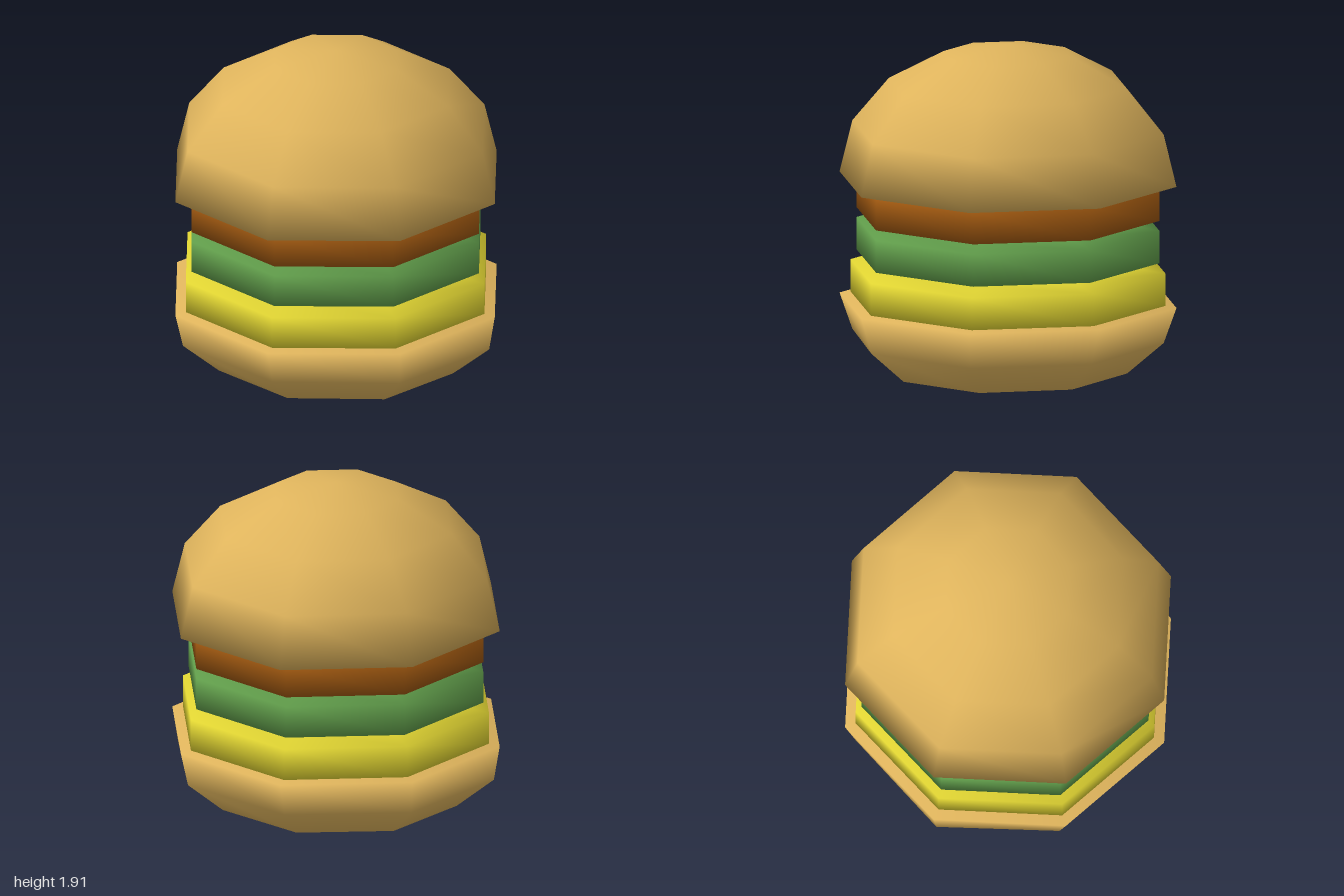
import * as THREE from 'three';
import { mergeVertices } from 'three/addons/utils/BufferGeometryUtils.js';

const material = (name, color) => new THREE.MeshStandardMaterial({ name, color });

// Eight-sided turned solid, closed on the axis, with normals shared across every edge.
// Profile points are [radius, height] from bottom to top, with an optional widening in x.
function turned(name, profile, mat) {
  const points = profile.map(([r, y]) => new THREE.Vector2(r, y));
  let geometry = new THREE.LatheGeometry(points, 8);
  const pos = geometry.attributes.position;
  for (let i = 0; i < pos.count; i++) {
    pos.setX(i, pos.getX(i) * (profile[i % profile.length][2] ?? 1));
  }
  geometry.deleteAttribute('normal');
  geometry.deleteAttribute('uv');
  geometry = mergeVertices(geometry, 1e-4);
  geometry.computeVertexNormals();
  const mesh = new THREE.Mesh(geometry, mat);
  mesh.name = name;
  return mesh;
}

// Flat filling slice with slightly raised caps
const slice = (name, radius, bottom, low, high, top, mat) =>
  turned(name, [[0, bottom], [0.7, bottom], [radius, low], [radius, high], [0.7, top], [0, top]], mat);

export function createModel() {
  const bun = material('bun tan', 0xdfb45c);
  const meat = material('meat brown', 0x9c560f);
  const leaf = material('lettuce green', 0x609c4a);
  const cheese = material('cheese yellow', 0xe0d432);
  const group = new THREE.Group();
  group.name = 'burger';

  // Domed top bun: half an ellipsoid closed by a flat base
  const dome = [[0, 1.115]];
  for (let i = 0; i <= 4; i++) {
    const a = (i * Math.PI) / 8;
    dome.push([i === 4 ? 0 : Math.cos(a), 1.115 + 0.8 * Math.sin(a)]);
  }

  group.add(
    turned('topBun', dome, bun),
    slice('patty', 0.9, 0.885, 0.91, 1.1, 1.113, meat),
    slice('lettuce', 0.9, 0.635, 0.66, 0.85, 0.88, leaf),
    slice('cheese', 0.935, 0.404, 0.41, 0.6, 0.627, cheese),
    // Bottom bun, a little wider in x below the rim
    turned('bottomBun', [[0, 0], [0.707, 0, 1.044], [0.924, 0.19, 1.044], [1, 0.4], [0, 0.4]], bun),
  );
  return group;
}
